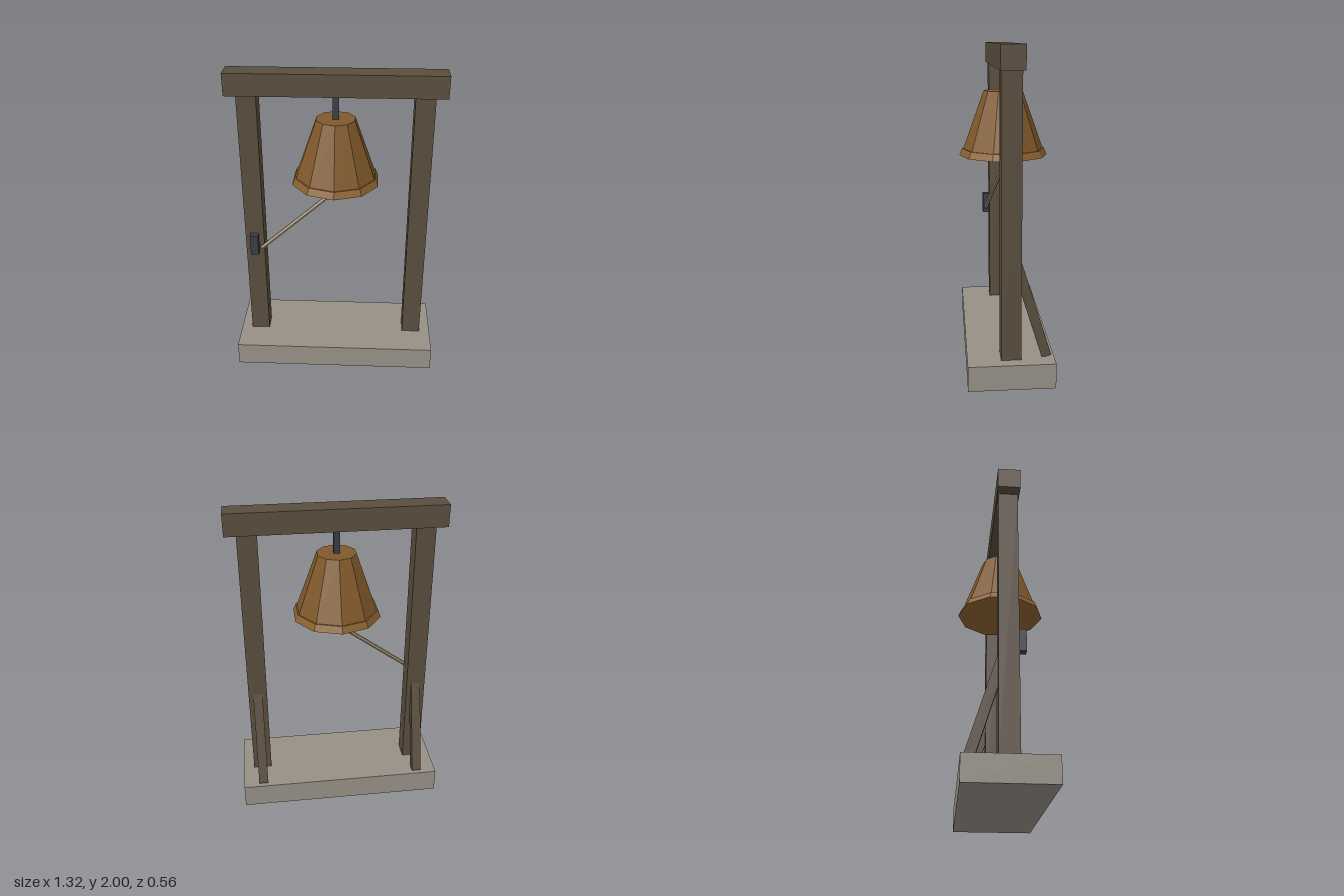
import * as THREE from 'three';

const mat = (color) => new THREE.MeshStandardMaterial({ color, flatShading: true });

export function createModel() {
  const root = new THREE.Group();
  const wood = mat(0x5a4d3e);
  const stone = mat(0x969086);
  const bronze = mat(0x80592a);
  const rimBronze = mat(0x8c6230);
  const iron = mat(0x3c3c4a);
  const rope = mat(0xa39173);

  const add = (name, geometry, material, x, y, z) => {
    const mesh = new THREE.Mesh(geometry, material);
    mesh.name = name;
    mesh.position.set(x, y, z);
    root.add(mesh);
    return mesh;
  };
  const box = (name, material, w, y0, y1, d, x = 0, z = 0) =>
    add(name, new THREE.BoxGeometry(w, y1 - y0, d), material, x, (y0 + y1) / 2, z);
  const drum = (name, material, rTop, rBottom, y0, y1, sides) =>
    add(name, new THREE.CylinderGeometry(rTop, rBottom, y1 - y0, sides), material, 0, (y0 + y1) / 2, 0);
  // Centre a y-aligned mesh between two points
  const span = (mesh, a, b) => {
    mesh.position.copy(a).lerp(b, 0.5);
    mesh.quaternion.setFromUnitVectors(new THREE.Vector3(0, 1, 0), b.clone().sub(a).normalize());
  };

  // Frame
  box('base', stone, 1.316, 0, 0.157, 0.524);
  box('topBeam', wood, 1.316, 1.863, 2, 0.14);
  for (const [side, s] of [['left', 1], ['right', -1]]) {
    box(side + 'Post', wood, 0.12, 0.157, 1.863, 0.12, s * 0.527);
    // Leaning brace behind the post, its top buried in the post
    const foot = new THREE.Vector3(s * 0.527, 0.16, -0.217);
    const head = new THREE.Vector3(s * 0.527, 0.796, -0.02);
    const brace = add(side + 'Brace', new THREE.BoxGeometry(0.06, foot.distanceTo(head), 0.06), wood, 0, 0, 0);
    span(brace, foot, head);
  }

  // Bell with its hanger, flared rim and clapper
  box('hanger', iron, 0.038, 1.70, 1.87, 0.038);
  drum('bellBody', bronze, 0.123, 0.257, 1.335, 1.71, 10);
  drum('bellRim', rimBronze, 0.262, 0.28, 1.302, 1.345, 10);
  drum('clapper', iron, 0.022, 0.022, 1.22, 1.32, 8);

  // Pull rope running down to a cleat on the right post
  box('ropeCleat', iron, 0.052, 0.793, 0.93, 0.05, -0.527, 0.08);
  const top = new THREE.Vector3(0, 1.225, 0);
  const end = new THREE.Vector3(-0.482, 0.835, 0.085);
  const line = add('pullRope', new THREE.CylinderGeometry(0.013, 0.013, top.distanceTo(end), 6), rope, 0, 0, 0);
  span(line, end, top);

  return root;
}
